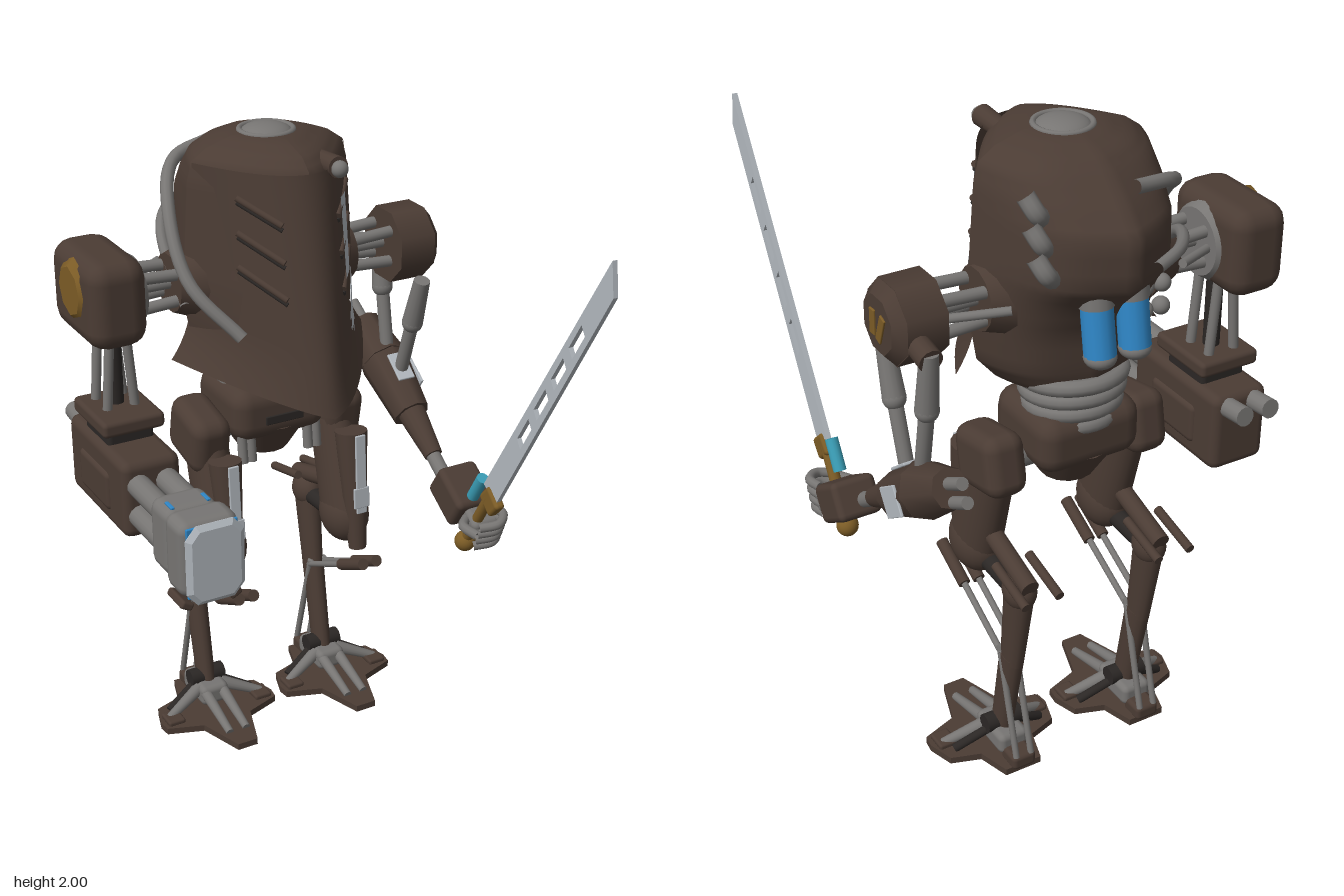
import * as THREE from 'three';
import { RoundedBoxGeometry } from 'three/addons/geometries/RoundedBoxGeometry.js';

const mat = (name, color, side = THREE.FrontSide) => {
  const m = new THREE.MeshStandardMaterial({ color, side });
  m.name = name;
  return m;
};
const V = (a) => new THREE.Vector3(...a);
const lerp = THREE.MathUtils.lerp;

// torso stations: y, half width, front z, back z
const stations = [
  [1.22, 0.1, -0.2, -0.46], [1.27, 0.2, -0.08, -0.52], [1.34, 0.26, 0.03, -0.54], [1.46, 0.28, 0.02, -0.56],
  [1.57, 0.285, 0.0, -0.62], [1.65, 0.28, -0.02, -0.7], [1.79, 0.27, -0.04, -0.705], [1.86, 0.265, -0.05, -0.64],
  [1.92, 0.25, -0.07, -0.57], [1.955, 0.2, -0.11, -0.52], [1.98, 0.12, -0.2, -0.44], [1.985, 0.0, -0.32, -0.33]];

// grid surface from fn(u, v) -> [x, y, z]
function surface(fn, nu, nv) {
  const pos = [], idx = [];
  for (let j = 0; j <= nv; j++) for (let i = 0; i <= nu; i++) pos.push(...fn(i / nu, j / nv));
  for (let j = 0; j < nv; j++) for (let i = 0; i < nu; i++) {
    const a = j * (nu + 1) + i, b = a + nu + 1;
    idx.push(a, a + 1, b, a + 1, b + 1, b);
  }
  const g = new THREE.BufferGeometry();
  g.setAttribute('position', new THREE.Float32BufferAttribute(pos, 3));
  g.setIndex(idx);
  g.computeVertexNormals();
  return g;
}

// chest shield: s runs across (-1..1), t runs from collar to hem
function shieldPoint(s, t, lift = 0) {
  const a = Math.abs(s), flare = Math.max(0, (t - 0.72) / 0.28) ** 2;
  const y = lerp(1.92, 1.215 + 0.1 * a, t);
  const z = lerp(-0.055, 0.09, t) - lerp(0.26, 0.42, t) * a ** lerp(2, 1.6, t);
  return [s * (0.25 + 0.02 * t + 0.06 * flare + lift * 0.8), y, z + lift];
}

export function createModel() {
  const brown = mat('brown armour', 0x4b3c34), grey = mat('grey metal', 0x777573);
  const silver = mat('silver paint', 0xb2b8be, THREE.DoubleSide), dark = mat('dark metal', 0x2b2725);
  const blue = mat('blue glass', 0x2f86c6), gold = mat('gold', 0x7c5c26), teal = mat('teal grip', 0x3a9db5);
  const plate = mat('brown plate', 0x4b3c34, THREE.DoubleSide);
  const model = new THREE.Group();
  model.name = 'walker';
  let part;
  const group = (name, x = 0) => {
    part = new THREE.Group();
    part.name = name; part.position.x = x;
    model.add(part);
    return part;
  };
  const add = (name, geo, m, p = [0, 0, 0], r = [0, 0, 0], s = [1, 1, 1]) => {
    const mesh = new THREE.Mesh(geo, m);
    mesh.name = name;
    mesh.position.set(...p); mesh.rotation.set(...r); mesh.scale.set(...s);
    part.add(mesh);
    return mesh;
  };
  const box = (name, m, size, p, r, bevel = 0.015) =>
    add(name, new RoundedBoxGeometry(...size, 2, Math.min(bevel, ...size.map((v) => v / 2.1))), m, p, r);
  const ball = (name, m, r, p, s) => add(name, new THREE.SphereGeometry(r, 24, 16), m, p, [0, 0, 0], s);
  const rod = (name, m, a, b, r1, r2 = r1, flat = 1, sides = 14) => {
    const A = V(a), d = V(b).sub(A);
    const mesh = add(name, new THREE.CylinderGeometry(r2, r1, d.length(), sides), m,
      A.clone().addScaledVector(d, 0.5).toArray(), [0, 0, 0], [flat, 1, 1]);
    mesh.quaternion.setFromUnitVectors(new THREE.Vector3(0, 1, 0), d.normalize());
    return mesh;
  };
  const hose = (name, m, pts, r) =>
    add(name, new THREE.TubeGeometry(new THREE.CatmullRomCurve3(pts.map(V)), 28, r, 10), m);
  const poly = (p) => p.map(([x, y]) => new THREE.Vector2(x, y));

  // torso hull, with a blunt ridge at the back
  group('torso', 0.016);
  add('hull', surface((u, v) => {
    const f = v * (stations.length - 1), i = Math.min(Math.floor(f), stations.length - 2);
    const [y, w, zf, zb] = stations[i].map((q, k) => lerp(q, stations[i + 1][k], f - i));
    const a = u * Math.PI * 2, s = Math.abs(Math.sin(a));
    const reach = Math.cos(a) >= 0 ? (zf + 0.32) * (1 - s ** 1.6) : (zb + 0.32) * (1 - 0.35 * s - 0.65 * s ** 5);
    return [w * Math.sin(a), y, -0.32 + reach];
  }, 64, 33), brown);
  add('chestShield', surface((u, v) => shieldPoint(u * 2 - 1, 1 - v), 32, 24), plate);
  ball('topDome', grey, 0.078, [0, 1.97, -0.33], [1, 0.4, 1]);
  add('domeRing', new THREE.TorusGeometry(0.08, 0.009, 8, 32), grey, [0, 1.98, -0.33], [Math.PI / 2, 0, 0]);
  // painted stripe and toothed patch on the shield
  add('chestStripe', surface((u, v) => shieldPoint(lerp(0.42, 0.56, u), lerp(0.5, 0.14, v), 0.008), 4, 20), silver);
  add('toothedPatch', surface((u, v) => {
    const a = u * Math.PI * 2, r = lerp(0.3, 0.9 + 0.1 * Math.sign(Math.sin(a * 10 + 0.1)), v);
    return shieldPoint(0.71 + 0.25 * r * Math.cos(a), 0.7 + 0.125 * r * Math.sin(a), 0.009);
  }, 80, 3), silver);
  // slanted vent lips
  for (const x of [-1, 1]) for (const t of [0.12, 0.28, 0.44]) {
    const a = shieldPoint(x * 0.7, t, 0.002), b = shieldPoint(x * 0.35, t + 0.09, 0.002);
    const lower = ([px, py, pz]) => [px, py - 0.014, pz];
    rod('ventLip', brown, a, b, 0.01);
    rod('ventSlot', dark, lower(a), lower(b), 0.007);
  }
  rod('lampBody', brown, [0.09, 1.92, -0.18], [0.09, 1.925, -0.06], 0.028, 0.032);
  ball('lampLens', grey, 0.025, [0.09, 1.922, -0.052]);
  // hoses round the right side and short exhausts on the left
  hose('upperHose', grey, [[-0.05, 1.89, -0.6], [-0.2, 1.86, -0.55], [-0.29, 1.76, -0.4], [-0.3, 1.58, -0.25], [-0.19, 1.43, -0.13]], 0.02);
  hose('lowerHose', grey, [[-0.06, 1.7, -0.7], [-0.18, 1.7, -0.63], [-0.285, 1.66, -0.47], [-0.3, 1.5, -0.28]], 0.017);
  for (let i = 0; i < 3; i++) {
    const y = 1.7 + i * 0.075, z = -0.59 + i * 0.025;
    hose('exhaust', grey, [[0.16, y - 0.04, z + 0.03], [0.205, y, z], [0.225, y + 0.045, z + 0.025]], 0.026);
  }
  // rear tanks and knobs
  for (const x of [-0.055, 0.055]) {
    rod('tank', blue, [x, 1.44, -0.62], [x, 1.58, -0.595], 0.045);
    rod('tankTop', grey, [x, 1.575, -0.595], [x, 1.61, -0.59], 0.049);
    ball('tankFoot', grey, 0.046, [x, 1.435, -0.62], [1, 0.7, 1]);
    for (const y of [1.48, 1.55]) ball('knob', grey, 0.026, [-0.17 + x * 0.5, y, -0.53]);
  }

  // waist and pelvis
  group('pelvis', 0.016);
  rod('waistCore', dark, [0, 1.08, -0.39], [0, 1.28, -0.4], 0.11);
  for (let i = 0; i < 4; i++)
    add('waistRing', new THREE.TorusGeometry(0.115 + i * 0.008, 0.024, 10, 32), grey, [0, 1.14 + i * 0.045, -0.4], [Math.PI / 2 + 0.12, 0, 0]);
  box('hipHousing', brown, [0.33, 0.18, 0.3], [0, 1.105, -0.38], [0, 0, 0], 0.06);
  rod('lowerHousing', brown, [0, 0.94, -0.38], [0, 1.05, -0.38], 0.08, 0.15);
  box('pelvisSlot', dark, [0.13, 0.028, 0.008], [0, 1.09, -0.228], [0, 0, 0], 0.003);
  for (const x of [-0.13, -0.1, 0.1, 0.13]) rod('pelvisPipe', grey, [x, 0.95, -0.26], [x, 1.04, -0.27], 0.016);
  rod('hipAxle', grey, [-0.25, 1.04, -0.38], [0.25, 1.04, -0.38], 0.045);

  // legs
  for (const k of [-1, 1]) {
    group(k > 0 ? 'leftLeg' : 'rightLeg', 0.02 + 0.223 * k);
    box('hipBlock', brown, [0.13, 0.19, 0.22], [0.012 * k, 1.035, -0.36], [0.2, 0, 0], 0.045);
    rod('thigh', brown, [0, 1.0, -0.34], [0, 0.7, -0.25], 0.09, 0.098, 0.7, 24);
    ball('knee', brown, 0.1, [0, 0.69, -0.25], [0.75, 1, 1]);
    rod('thighGuard', brown, [0, 1.0, -0.21], [0, 0.6, -0.16], 0.055, 0.03, 0.95);
    box('thighPaint', silver, [0.036, 0.27, 0.009], [0, 0.87, -0.144], [-0.06, 0, 0], 0.003);
    box('thighPaintPatch', silver, [0.055, 0.07, 0.009], [0, 0.79, -0.138], [-0.06, 0, 0], 0.003);
    // reversed lower leg
    rod('linkBar', brown, [0, 0.82, -0.16], [0, 0.7, -0.56], 0.03, 0.028);
    rod('rearLink', dark, [0, 0.66, -0.28], [0, 0.65, -0.48], 0.03);
    ball('hock', brown, 0.06, [0, 0.66, -0.5], [0.8, 1, 1]);
    for (const d of [-0.055, 0.055]) rod('hockProng', brown, [d, 0.74, -0.46], [d, 0.7, -0.63], 0.014);
    rod('shinUpper', brown, [0, 0.66, -0.5], [0, 0.38, -0.46], 0.058, 0.045, 0.68);
    rod('shinLower', brown, [0, 0.4, -0.46], [0, 0.09, -0.4], 0.048, 0.042, 0.68);
    for (const d of [-0.025, 0.025]) {
      rod('frontPiston', grey, [d, 0.51, -0.22], [d, 0.4, -0.44], 0.01);
      rod('pistonSleeve', brown, [d, 0.58, -0.08], [d, 0.51, -0.22], 0.019);
      rod('heelPiston', grey, [d, 0.42, -0.43], [d, 0.06, -0.53], 0.01);
    }
    // foot
    const h = [[0.035, 0.25], [0.085, 0.1], [0.2, 0.06], [0.205, 0.02], [0.18, -0.06], [0.09, -0.09], [0.06, -0.19]];
    const outline = [...h, ...h.map(([x, z]) => [-x, z]).reverse()].map(([x, z]) => [x, -z]);
    const sole = new THREE.ExtrudeGeometry(new THREE.Shape(poly(outline)), { depth: 0.022, bevelEnabled: false });
    add('sole', sole, brown, [0, 0.005, -0.34], [-Math.PI / 2, 0, 0]);
    box('ankle', grey, [0.1, 0.07, 0.16], [0, 0.07, -0.4], [0, 0, 0], 0.02);
    rod('anklePin', dark, [-0.06, 0.11, -0.4], [0.06, 0.11, -0.4], 0.03);
    box('heel', brown, [0.08, 0.05, 0.08], [0, 0.04, -0.5]);
    for (const d of [-1, 1]) {
      rod('sideToe', grey, [d * 0.04, 0.085, -0.37], [d * 0.17, 0.03, -0.33], 0.022, 0.014);
      rod('sideBrace', dark, [d * 0.04, 0.09, -0.4], [d * 0.15, 0.03, -0.37], 0.014);
      rod('frontToe', grey, [d * 0.03, 0.085, -0.36], [d * 0.03, 0.03, -0.16], 0.02, 0.013);
      box('toeCap', brown, [0.06, 0.02, 0.07], [d * 0.16, 0.032, -0.32], [0, 0, 0], 0.008);
    }
  }

  // shoulder linkages
  group('shoulderLinks');
  for (const k of [-1, 1]) {
    rod('socket', brown, [k * 0.2, 1.55, -0.36], [k * 0.3, 1.55, -0.36], 0.13, 0.09);
    for (const [dy, dz] of [[-0.05, -0.05], [0.05, -0.05], [-0.05, 0.05], [0.05, 0.05], [0, 0]])
      rod('linkRod', grey, [k * 0.28, 1.55 + dy * 0.8, -0.36 + dz], [k * 0.46, 1.55 + dy, -0.36 + dz], 0.018);
    rod('linkBrace', grey, [k * 0.27, 1.57, -0.5], [k * 0.42, 1.55, -0.42], 0.013);
  }

  // right arm with cannon
  group('cannonArm');
  const G = -0.485;
  box('shoulder', brown, [0.185, 0.27, 0.33], [-0.51, 1.555, -0.385], [0, 0, 0], 0.06);
  rod('shoulderDisc', grey, [-0.435, 1.55, -0.37], [-0.405, 1.55, -0.37], 0.12, 0.1, 1, 28);
  rod('shoulderCap', gold, [-0.59, 1.58, -0.37], [-0.612, 1.58, -0.37], 0.1, 0.075, 1, 8);
  for (const dx of [-0.035, 0.035]) for (const z of [-0.42, -0.33])
    rod('armStrut', grey, [G + dx * 0.7, 1.45, z], [G + dx * 1.3, 1.18, z], 0.015);
  rod('armCore', dark, [G, 1.2, -0.37], [G, 1.45, -0.37], 0.025);
  box('wristPlate', brown, [0.2, 0.05, 0.24], [G, 1.175, -0.35]);
  box('wristCollar', dark, [0.15, 0.06, 0.18], [G, 1.125, -0.35]);
  box('cannonBody', brown, [0.19, 0.25, 0.42], [G, 0.99, -0.325], [0, 0, 0], 0.03);
  box('sidePlate', brown, [0.21, 0.13, 0.22], [G, 0.98, -0.33], [0, 0, 0], 0.02);
  for (const dx of [-0.045, 0.045]) {
    for (const y of [0.94, 1.04]) rod('barrelTube', grey, [G + dx, y, -0.13], [G + dx, y, 0.08], 0.036);
    rod('rearExhaust', grey, [G + dx, 1.075, -0.52], [G + dx, 1.085, -0.61], 0.03);
    box('claw', brown, [0.04, 0.025, 0.1], [G + dx * 1.7, 0.84, 0.22], [0, 0, dx > 0 ? 0.5 : -0.5], 0.008);
    box('muzzleLight', blue, [0.012, 0.008, 0.045], [G + dx * 1.25, 1.09, 0.125], [0, 0, 0], 0.003);
  }
  box('muzzleBase', grey, [0.17, 0.22, 0.13], [G, 0.98, 0.1], [0, 0, 0], 0.035);
  box('muzzle', grey, [0.19, 0.24, 0.12], [G, 0.98, 0.215], [0, 0, 0], 0.035);
  box('muzzleGlow', blue, [0.16, 0.225, 0.009], [G, 0.98, 0.278], [0, 0, 0], 0.004);
  // chamfered muzzle face
  const face = new THREE.Shape(poly([[-0.05, -0.11], [0.05, -0.11], [0.075, -0.08], [0.075, 0.08], [0.05, 0.11], [-0.05, 0.11], [-0.075, 0.08], [-0.075, -0.08]]));
  add('muzzleFace', new THREE.ExtrudeGeometry(face, { depth: 0.002, bevelThickness: 0.012, bevelSize: 0.016, bevelSegments: 1 }), silver, [G, 0.98, 0.295]);

  // left arm
  group('swordArm');
  const S = 0.52;
  add('shoulder', new THREE.CylinderGeometry(0.122, 0.122, 0.12, 8), brown, [0.495, 1.545, -0.35], [Math.PI / 8, 0, Math.PI / 2]);
  add('shoulderBoss', new THREE.CylinderGeometry(0.085, 0.12, 0.03, 8), brown, [0.57, 1.545, -0.35], [Math.PI / 8, 0, -Math.PI / 2]);
  box('goldMark', gold, [0.009, 0.075, 0.028], [0.586, 1.545, -0.325], [0, 0, 0], 0.003);
  box('goldMark', gold, [0.009, 0.085, 0.028], [0.586, 1.54, -0.37], [-0.35, 0, 0], 0.003);
  const struts = [[[S, 1.44, -0.25], [S, 1.28, -0.3], [S, 1.1, -0.36]], [[S, 1.52, -0.51], [S, 1.34, -0.49], [S, 1.12, -0.45]]];
  for (const [a, b, c] of struts) {
    rod('upperStrut', grey, a, b, 0.026, 0.034);
    rod('lowerStrut', grey, b, c, 0.022);
    ball('strutJoint', grey, 0.034, b);
  }
  rod('strutArm', brown, [S, 1.52, -0.42], [S, 1.5, -0.52], 0.035);
  rod('forearm', brown, [S, 0.96, -0.29], [S, 1.08, -0.47], 0.065, 0.085, 0.95, 8);
  rod('forearmTail', brown, [S, 1.08, -0.47], [S, 1.165, -0.61], 0.085, 0.058, 0.95, 8);
  for (const d of [-0.022, 0.022]) rod('tailTube', grey, [S, 1.11 + d, -0.54 + d * 0.6], [S, 1.195 + d, -0.69 + d * 0.6], 0.018);
  box('forearmPaint', silver, [0.009, 0.09, 0.1], [0.594, 1.03, -0.41], [0.58, 0, 0], 0.003);
  box('forearmTopPaint', silver, [0.06, 0.009, 0.1], [S, 1.102, -0.363], [0.65, 0, 0], 0.003);
  rod('forearmShaft', grey, [S, 0.82, -0.08], [S, 0.97, -0.31], 0.024);
  rod('shaftGuard', brown, [S, 0.87, -0.15], [S, 0.985, -0.32], 0.03, 0.05);
  box('wristBlock', brown, [0.14, 0.12, 0.16], [0.54, 0.79, -0.01], [0.56, 0, 0], 0.02);
  box('palm', grey, [0.1, 0.08, 0.08], [0.545, 0.735, 0.09], [0.56, 0, 0], 0.02);
  for (let i = 0; i < 4; i++) {
    const q = i * 0.026;
    hose('finger', grey, [[0.58, 0.78 - q, 0.1 - q * 0.4], [0.59, 0.78 - q, 0.15 - q * 0.4], [0.55, 0.77 - q, 0.19 - q * 0.4], [0.49, 0.76 - q, 0.17 - q * 0.4]], 0.015);
  }
  hose('thumb', grey, [[0.5, 0.75, 0.08], [0.465, 0.75, 0.12], [0.48, 0.74, 0.18]], 0.016);

  // sword, blade along local y
  const sword = group('sword');
  sword.position.set(S, 0.65, 0.05);
  sword.rotation.x = 0.525;
  const blade = new THREE.Shape(poly([[-0.04, 0.27], [0.04, 0.27], [0.03, 1.33], [-0.035, 1.25]]));
  for (let i = 0; i < 4; i++) {
    const y = 0.53 + i * 0.145;
    blade.holes.push(new THREE.Path(poly([[-0.016, y], [-0.016, y + 0.1], [0.014, y + 0.115], [0.014, y + 0.015]])));
  }
  const bladeGeo = new THREE.ExtrudeGeometry(blade, { depth: 0.016, bevelEnabled: false }).translate(0, 0, -0.008).rotateY(Math.PI / 2);
  add('blade', bladeGeo, silver);
  box('guard', gold, [0.035, 0.07, 0.08], [0, 0.25, 0.015], [0.2, 0, 0], 0.012);
  rod('grip', gold, [0, 0.02, 0], [0, 0.25, 0], 0.018);
  rod('gripLight', teal, [0, 0.17, -0.06], [0, 0.27, -0.06], 0.02);
  ball('pommel', gold, 0.034, [0, 0.0, 0]);
  return model;
}
